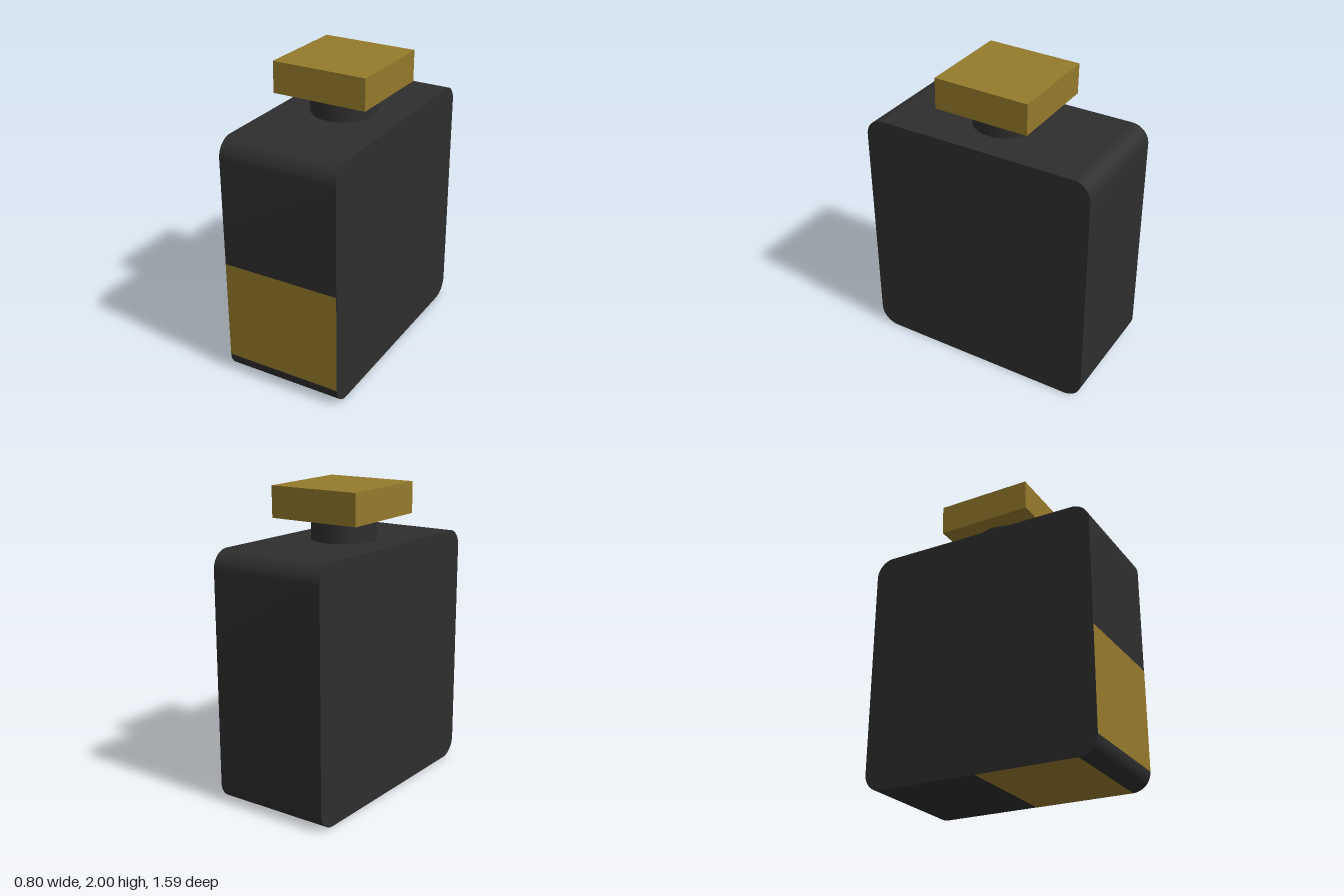
import * as THREE from 'three';
import { toCreasedNormals } from 'three/addons/utils/BufferGeometryUtils.js';

export function createModel() {
  const group = new THREE.Group();
  const dark = new THREE.MeshStandardMaterial({ color: 0x2e2e2e });
  const gold = new THREE.MeshStandardMaterial({ color: 0x957a2c });
  const sheet = new THREE.MeshStandardMaterial({ color: 0x957a2c, side: THREE.DoubleSide });

  const add = (name, geometry, material, x, y, z) => {
    const mesh = new THREE.Mesh(geometry, material);
    mesh.name = name;
    mesh.position.set(x, y, z);
    group.add(mesh);
    return mesh;
  };

  const W = 0.8, H = 1.64, D = 1.586, R = 0.12;

  // Bottle body: rounded rectangle in the z-y plane, extruded across x
  const d = D / 2;
  const s = new THREE.Shape();
  s.absarc(d - R, R, R, -Math.PI / 2, 0);
  s.absarc(d - R, H - R, R, 0, Math.PI / 2);
  s.absarc(-d + R, H - R, R, Math.PI / 2, Math.PI);
  s.absarc(-d + R, R, R, Math.PI, Math.PI * 1.5);
  s.closePath();
  const body = new THREE.ExtrudeGeometry(s, { depth: W, bevelEnabled: false, curveSegments: 8 });
  body.translate(0, 0, -W / 2).rotateY(Math.PI / 2);
  add('bottleBody', toCreasedNormals(body, 0.6), dark, 0, 0, 0);

  // Gold panels: lower half of the front, front half of the base
  const frontH = H / 2 - R - 0.02;
  add('frontPanel', new THREE.PlaneGeometry(W, frontH), sheet, 0, R + frontH / 2, d + 0.001);
  const baseD = d - R;
  const base = new THREE.PlaneGeometry(W, baseD).rotateX(Math.PI / 2);
  add('basePanel', base, sheet, 0, -0.001, baseD / 2);

  // Neck
  add('neck', new THREE.CylinderGeometry(0.212, 0.212, 0.2, 32), dark, 0, 1.72, 0.003);

  // Stopper, tipped very slightly backwards
  const cap = add('stopper', new THREE.BoxGeometry(0.64, 0.205, 0.64), gold, 0, 1.893, -0.008);
  cap.rotation.x = -0.014;

  return group;
}
